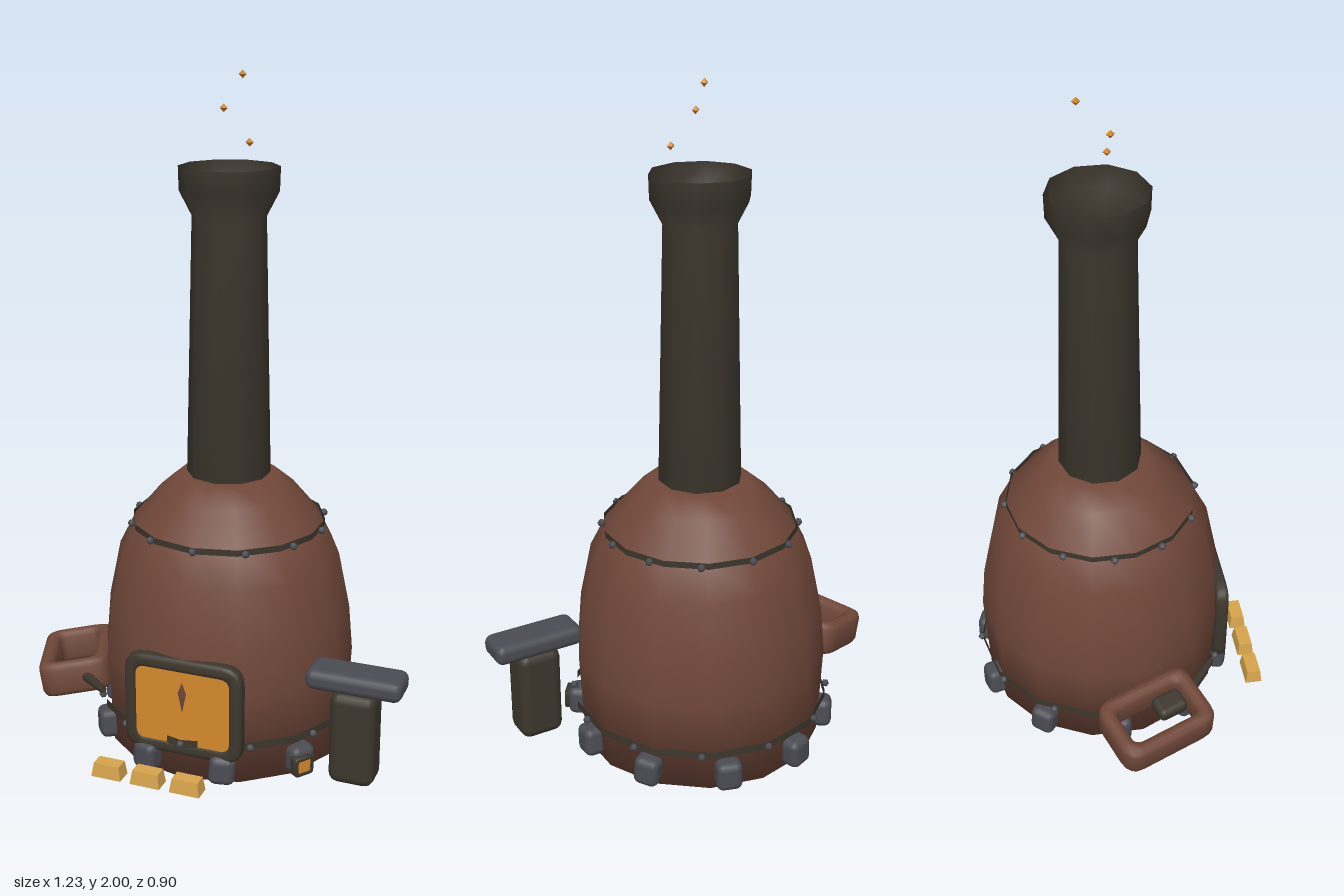
import * as THREE from 'three';
import { toCreasedNormals } from 'three/addons/utils/BufferGeometryUtils.js';
import { RoundedBoxGeometry } from 'three/addons/geometries/RoundedBoxGeometry.js';

const mat = (name, color, side = THREE.FrontSide) => {
  const m = new THREE.MeshStandardMaterial({ color, side });
  m.name = name;
  return m;
};
const CZ = -0.045; // depth of the furnace axis

// Rounded rectangle path centred on the origin
function roundRect(path, w, h, r) {
  const x = w / 2, y = h / 2;
  path.moveTo(-x + r, -y);
  path.lineTo(x - r, -y);
  path.quadraticCurveTo(x, -y, x, -y + r);
  path.lineTo(x, y - r);
  path.quadraticCurveTo(x, y, x - r, y);
  path.lineTo(-x + r, y);
  path.quadraticCurveTo(-x, y, -x, y - r);
  path.lineTo(-x, -y + r);
  path.quadraticCurveTo(-x, -y, -x + r, -y);
  return path;
}

// Soft-edged rectangular ring, centred, with its hole along z
function ringGeometry(w, h, bar, depth, radius, bevel) {
  const shape = roundRect(new THREE.Shape(), w, h, radius);
  shape.holes.push(roundRect(new THREE.Path(), w - 2 * bar, h - 2 * bar, radius * 0.4));
  const g = new THREE.ExtrudeGeometry(shape, {
    depth: depth - 2 * bevel, bevelThickness: bevel, bevelSize: bevel,
    bevelOffset: -bevel, bevelSegments: 2, curveSegments: 4,
  });
  g.translate(0, 0, bevel - depth / 2);
  return toCreasedNormals(g, 0.9);
}

export function createModel() {
  const root = new THREE.Group();
  root.name = 'furnace';
  const clay = mat('clay brown', 0x704739, THREE.DoubleSide);
  const iron = mat('dark iron', 0x3c372d, THREE.DoubleSide);
  const stone = mat('blue grey stone', 0x4b4c53);
  const fire = mat('fire orange', 0xd4892c);
  const gold = mat('gold', 0xd6a54c);

  const add = (name, geo, material, x = 0, y = 0, z = 0, parent = root) => {
    const m = new THREE.Mesh(geo, material);
    m.name = name;
    m.position.set(x, y, z);
    parent.add(m);
    return m;
  };
  const lathe = (pts, n) => new THREE.LatheGeometry(pts.map(p => new THREE.Vector2(...p)), n);

  // Domed body and tall flared chimney
  add('body', lathe([[0, 0], [0.368, 0], [0.382, 0.28], [0.37, 0.42], [0.335, 0.59],
    [0.285, 0.69], [0.205, 0.785], [0.145, 0.835], [0, 0.837]], 14), clay, 0, 0, CZ);
  add('chimney', lathe([[0, 0.83], [0.125, 0.83], [0.107, 1.6], [0.143, 1.67], [0.145, 1.74]], 10),
    iron, 0, 0, CZ);

  // Riveted bands
  const rivetGeo = new THREE.OctahedronGeometry(0.012, 1);
  for (const [name, r, y] of [['lowerBand', 0.39, 0.125], ['upperBand', 0.291, 0.685]]) {
    const band = new THREE.Group();
    band.name = name;
    band.position.set(0, y, CZ);
    root.add(band);
    add('strap', new THREE.CylinderGeometry(r, r, 0.024, 14, 1, true), iron, 0, 0, 0, band);
    for (let i = 0; i < 12; i++) {
      const a = i * Math.PI / 6;
      add('rivet', rivetGeo, stone, Math.sin(a) * (r + 0.003), 0, Math.cos(a) * (r + 0.003), band);
    }
  }

  // Foundation stones
  const stoneGeo = new RoundedBoxGeometry(0.078, 0.09, 0.065, 2, 0.022);
  for (let i = 0; i < 10; i++) {
    const a = (i + 0.5) * Math.PI / 5;
    const s = add('foundationStone', stoneGeo, stone, Math.sin(a) * 0.38, 0.055, CZ + Math.cos(a) * 0.38);
    s.rotation.set(0, a, (i % 3 - 1) * 0.08);
  }

  // Firebox mouth
  add('doorFrame', ringGeometry(0.365, 0.305, 0.042, 0.042, 0.06, 0.012), iron, 0, 0.232, 0.316);
  add('fireGlow', new THREE.ShapeGeometry(roundRect(new THREE.Shape(), 0.29, 0.245, 0.03), 4),
    fire, 0, 0.23, 0.334);

  // Ember vent low on the left side
  const vent = new THREE.Group();
  vent.name = 'emberVent';
  vent.position.set(0.325, 0.05, 0.208);
  vent.rotation.y = 0.3 * Math.PI;
  root.add(vent);
  add('ventFrame', ringGeometry(0.065, 0.06, 0.012, 0.03, 0.012, 0.004), iron, 0, 0, 0, vent);
  add('ember', new THREE.BoxGeometry(0.042, 0.038, 0.009), fire, 0, 0, 0.008, vent);

  // Anvil on its stump
  add('anvilStump', new RoundedBoxGeometry(0.136, 0.29, 0.115, 2, 0.03), iron, 0.468, 0.153, 0.156);
  add('anvilTop', new RoundedBoxGeometry(0.284, 0.062, 0.12, 2, 0.024), stone, 0.468, 0.325, 0.152);

  // Tilted bellows frame with its inner block and nozzle
  const bellows = new THREE.Group();
  bellows.name = 'bellows';
  bellows.position.set(-0.47, 0.175, 0.055);
  bellows.rotation.set(0, 0.38, 0.17, 'ZYX');
  root.add(bellows);
  const frameGeo = ringGeometry(0.22, 0.315, 0.048, 0.108, 0.055, 0.02);
  frameGeo.rotateX(Math.PI / 2);
  add('bellowsFrame', frameGeo, clay, 0, 0, 0, bellows);
  add('bellowsBlock', new RoundedBoxGeometry(0.075, 0.05, 0.1, 2, 0.02), iron, 0.028, -0.01, 0.066, bellows);

  const from = new THREE.Vector3(-0.4, 0.19, 0.165), to = new THREE.Vector3(-0.285, 0.203, 0.262);
  const dir = to.clone().sub(from);
  const nozzle = add('nozzle', new THREE.CylinderGeometry(0.011, 0.016, dir.length(), 8), iron);
  nozzle.position.copy(from).add(to).multiplyScalar(0.5);
  nozzle.quaternion.setFromUnitVectors(new THREE.Vector3(0, 1, 0), dir.normalize());

  // Ingots: boxes narrowed towards the top
  const ingotGeo = new THREE.BoxGeometry(0.092, 0.042, 0.052).toNonIndexed();
  const p = ingotGeo.attributes.position;
  for (let i = 0; i < p.count; i++) {
    if (p.getY(i) > 0) p.setXYZ(i, p.getX(i) * 0.86, p.getY(i), p.getZ(i) * 0.8);
  }
  ingotGeo.computeVertexNormals();
  for (const x of [-0.195, -0.073, 0.05]) add('ingot', ingotGeo, gold, x, 0.045, 0.42);

  // Sparks above the chimney
  const sparkGeo = new THREE.OctahedronGeometry(0.012);
  for (const [x, y, z] of [[0.073, 1.812, -0.01], [-0.004, 1.902, -0.012], [0.02, 1.988, -0.097]]) {
    add('spark', sparkGeo, fire, x, y, z);
  }
  return root;
}
